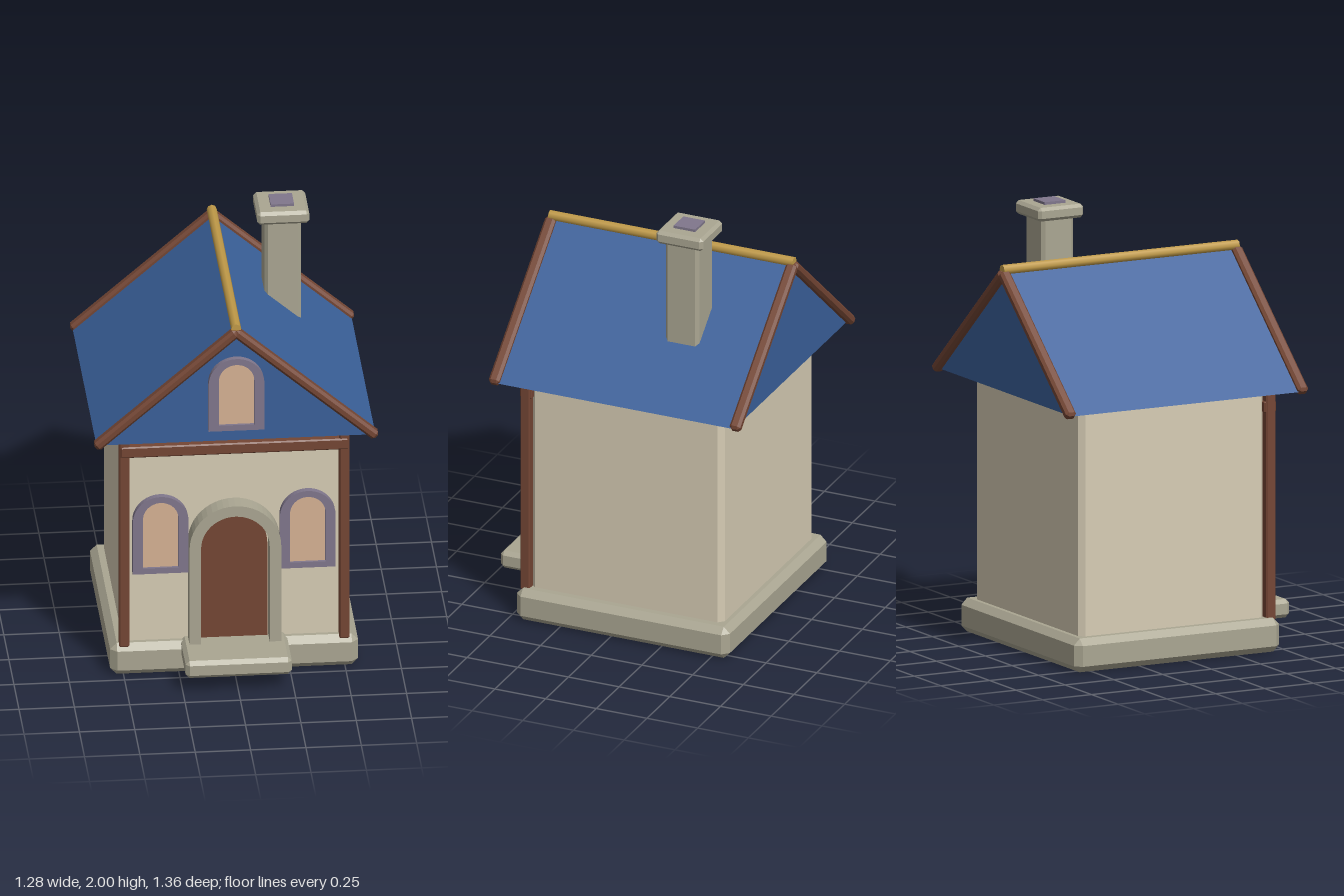
import * as THREE from 'three';
import { ConvexGeometry } from 'three/addons/geometries/ConvexGeometry.js';

const material = (name, color) => {
  const m = new THREE.MeshStandardMaterial({ color });
  m.name = name;
  return m;
};

// Box with all edges chamfered by c
function chamferBox(w, h, d, c) {
  const half = [w / 2, h / 2, d / 2];
  const points = [];
  for (const sx of [-1, 1]) for (const sy of [-1, 1]) for (const sz of [-1, 1]) {
    for (let full = 0; full < 3; full++) {
      const p = half.map((v, i) => (i === full ? v : v - c));
      points.push(new THREE.Vector3(p[0] * sx, p[1] * sy, p[2] * sz));
    }
  }
  return new ConvexGeometry(points);
}

// Round-topped outline standing on y = bottom
function trace(path, half, bottom, top) {
  path.moveTo(-half, bottom);
  path.lineTo(half, bottom);
  path.lineTo(half, top - half);
  path.absarc(0, top - half, half, 0, Math.PI, false);
  path.lineTo(-half, bottom);
  return path;
}

const extrude = (shape, depth) =>
  new THREE.ExtrudeGeometry(shape, { depth, bevelEnabled: false, curveSegments: 12 });

export function createModel() {
  const house = new THREE.Group();
  house.name = 'house';

  const stone = material('stone', 0xaaa692);
  const plaster = material('plaster', 0xd6ccb4);
  const wood = material('wood', 0x744634);
  const roofBlue = material('roofBlue', 0x3a609a);
  const glass = material('glass', 0xd6b293);
  const slate = material('slate', 0x80778c);
  const gold = material('gold', 0xc09a48);

  const add = (name, geometry, mat, x = 0, y = 0, z = 0, parent = house) => {
    const mesh = new THREE.Mesh(geometry, mat);
    mesh.name = name;
    mesh.position.set(x, y, z);
    parent.add(mesh);
    return mesh;
  };
  // Chamfered block given by its minimum and maximum corners
  const block = (name, mat, [x0, y0, z0], [x1, y1, z1], c) =>
    add(name, chamferBox(x1 - x0, y1 - y0, z1 - z0, c), mat,
      (x0 + x1) / 2, (y0 + y1) / 2, (z0 + z1) / 2);

  // Body
  block('foundation', stone, [-0.56, 0, -0.585], [0.56, 0.155, 0.465], 0.03);
  block('doorstep', stone, [-0.24, 0.08, 0.36], [0.24, 0.165, 0.683], 0.018);
  block('walls', plaster, [-0.5, 0.13, -0.535], [0.5, 1.205, 0.415], 0.025);

  // Timber frame on the front
  for (const s of [-1, 1]) {
    add(s > 0 ? 'leftPost' : 'rightPost', chamferBox(0.046, 1.08, 0.048, 0.006), wood, s * 0.497, 0.68, 0.431);
  }
  block('crossBeam', wood, [-0.515, 1.093, 0.4], [0.515, 1.147, 0.46], 0.006);

  // Roof prism
  const eaveX = 0.63, eaveY = 1.2, ridgeY = 1.745;
  const gable = new THREE.Shape();
  gable.moveTo(-eaveX, eaveY);
  gable.lineTo(eaveX, eaveY);
  gable.lineTo(0, ridgeY);
  add('roof', extrude(gable, 1.18), roofBlue, 0, 0, -0.65);

  // Sloping trim boards on both gables
  const rise = ridgeY - eaveY;
  const length = Math.hypot(eaveX, rise) + 0.01;
  for (const z of [0.533, -0.655]) {
    for (const s of [-1, 1]) {
      const board = add('gableTrim', chamferBox(length, 0.044, 0.052, 0.012), wood,
        s * eaveX / 2, (eaveY + ridgeY) / 2, z);
      board.rotation.z = -s * Math.atan2(rise, eaveX);
    }
  }

  // Ridge pole
  const pole = add('ridgePole', new THREE.CylinderGeometry(0.023, 0.023, 1.205, 8), gold, 0, 1.763, -0.062);
  pole.rotation.x = Math.PI / 2;

  // Chimney
  block('chimneyStack', stone, [0.195, 1.3, -0.352], [0.36, 1.94, -0.187], 0.015);
  block('chimneyCap', stone, [0.16, 1.925, -0.387], [0.395, 1.988, -0.155], 0.014);
  add('flue', new THREE.BoxGeometry(0.106, 0.04, 0.106), slate, 0.278, 1.98, -0.271);

  // Door with an open stone arch
  add('door', extrude(trace(new THREE.Shape(), 0.15, 0.155, 0.782), 0.03), wood, 0, 0, 0.405);
  const arch = new THREE.Shape();
  arch.moveTo(0.155, 0.15);
  arch.lineTo(0.207, 0.15);
  arch.lineTo(0.207, 0.645);
  arch.absarc(0, 0.645, 0.207, 0, Math.PI, false);
  arch.lineTo(-0.207, 0.15);
  arch.lineTo(-0.155, 0.15);
  arch.absarc(0, 0.645, 0.155, Math.PI, 0, true);
  add('doorArch', extrude(arch, 0.1), stone, 0, 0, 0.403);

  // Arched windows: a frame with a recessed pane
  const addWindow = (name, x, y, z, height) => {
    const group = new THREE.Group();
    group.name = name;
    group.position.set(x, y, z);
    house.add(group);
    const frame = trace(new THREE.Shape(), 0.126, 0, height);
    frame.holes.push(trace(new THREE.Path(), 0.08, 0.028, height - 0.03));
    add('windowFrame', extrude(frame, 0.035), slate, 0, 0, 0, group);
    add('windowPane', extrude(trace(new THREE.Shape(), 0.081, 0.027, height - 0.029), 0.009),
      glass, 0, 0, 0.013, group);
  };
  addWindow('leftWindow', 0.332, 0.5, 0.41, 0.385);
  addWindow('rightWindow', -0.332, 0.5, 0.41, 0.385);
  addWindow('gableWindow', 0, 1.26, 0.522, 0.36);

  return house;
}
